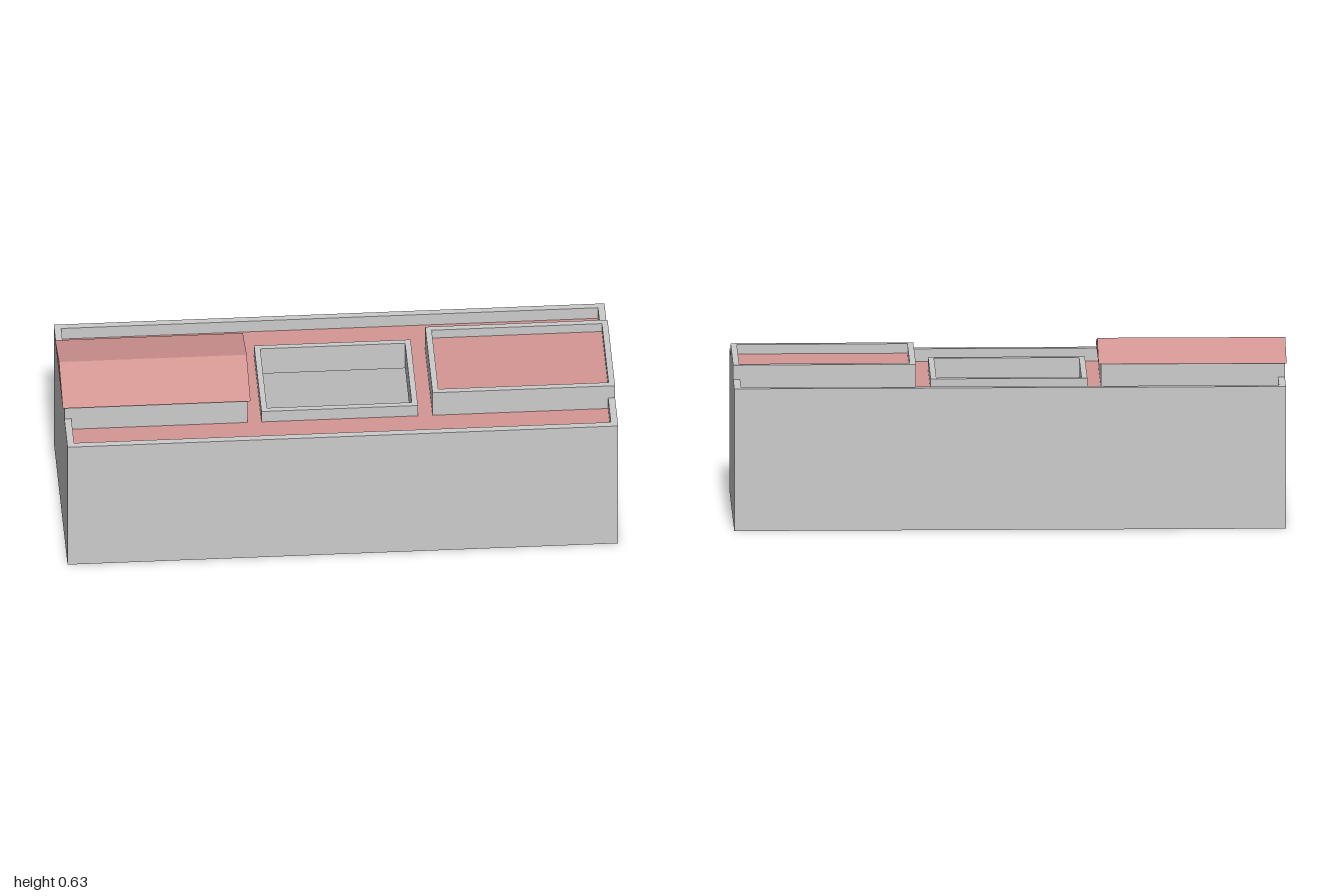
import * as THREE from 'three';

const wallMat = new THREE.MeshStandardMaterial({ color: 0xcccccc });
const roofMat = new THREE.MeshStandardMaterial({ color: 0xd59794 });

// Plan rectangles: [x0, x1, z0, z1]
const BODY = [-0.992, 0.997, -0.3775, 0.3775];
const COURT = [-0.28, 0.285, -0.203, 0.203];
const FLAT_BLOCK = [0.338, 0.997, -0.203, 0.203];
const GABLE_BLOCK = [-0.992, -0.33, -0.203, 0.203];
const T = 0.025; // wall thickness

const inset = ([x0, x1, z0, z1], t) => [x0 + t, x1 - t, z0 + t, z1 - t];

function corners([x0, x1, z0, z1]) {
  return [[x0, -z1], [x1, -z1], [x1, -z0], [x0, -z0]].map(([x, y]) => new THREE.Vector2(x, y));
}

// Upright prism over a plan rectangle, optionally with a rectangular hole
function prism(name, mat, outer, hole, y0, y1) {
  const shape = new THREE.Shape(corners(outer));
  if (hole) shape.holes.push(new THREE.Path(corners(hole)));
  const geo = new THREE.ExtrudeGeometry(shape, { depth: y1 - y0, bevelEnabled: false });
  geo.rotateX(-Math.PI / 2);
  geo.translate(0, y0, 0);
  const mesh = new THREE.Mesh(geo, mat);
  mesh.name = name;
  return mesh;
}

const ring = (name, rect, t, y0, y1) => prism(name, wallMat, rect, inset(rect, t), y0, y1);

export function createModel() {
  const model = new THREE.Group();
  model.name = 'building';

  // Outer walls: thin skirt at the foot, thick wall and parapet above
  model.add(ring('wallSkirt', BODY, 0.002, 0, 0.1));
  model.add(ring('outerWall', BODY, T, 0.1, 0.522));

  // Main roof slab with its coloured covering, open at the courtyard
  const inner = inset(BODY, T);
  model.add(prism('roofSlab', wallMat, inner, COURT, 0.41, 0.47));
  model.add(prism('mainRoof', roofMat, inner, COURT, 0.47, 0.475));

  // Courtyard shaft walls
  model.add(ring('courtyardWall', COURT, 0.021, 0.41, 0.521));

  // Raised flat-roofed block
  const flatBlock = new THREE.Group();
  flatBlock.name = 'flatBlock';
  flatBlock.add(ring('flatBlockWall', FLAT_BLOCK, 0.022, 0.475, 0.575));
  flatBlock.add(prism('flatBlockRoof', roofMat, inset(FLAT_BLOCK, 0.022), null, 0.5, 0.54));
  model.add(flatBlock);

  // Raised block under a gable roof with small eaves
  const gableBlock = new THREE.Group();
  gableBlock.name = 'gableBlock';
  gableBlock.add(prism('gableBlockWall', wallMat, GABLE_BLOCK, null, 0.475, 0.574));
  const gable = new THREE.Shape([
    new THREE.Vector2(-0.21, 0), new THREE.Vector2(0.21, 0), new THREE.Vector2(0, 0.055),
  ]);
  const gableGeo = new THREE.ExtrudeGeometry(gable, { depth: 0.678, bevelEnabled: false });
  gableGeo.rotateY(Math.PI / 2);
  gableGeo.translate(-0.998, 0.574, 0);
  const gableRoof = new THREE.Mesh(gableGeo, roofMat);
  gableRoof.name = 'gableRoof';
  gableBlock.add(gableRoof);
  model.add(gableBlock);

  // The plan sits slightly turned
  model.rotation.y = -0.0105;
  return model;
}
